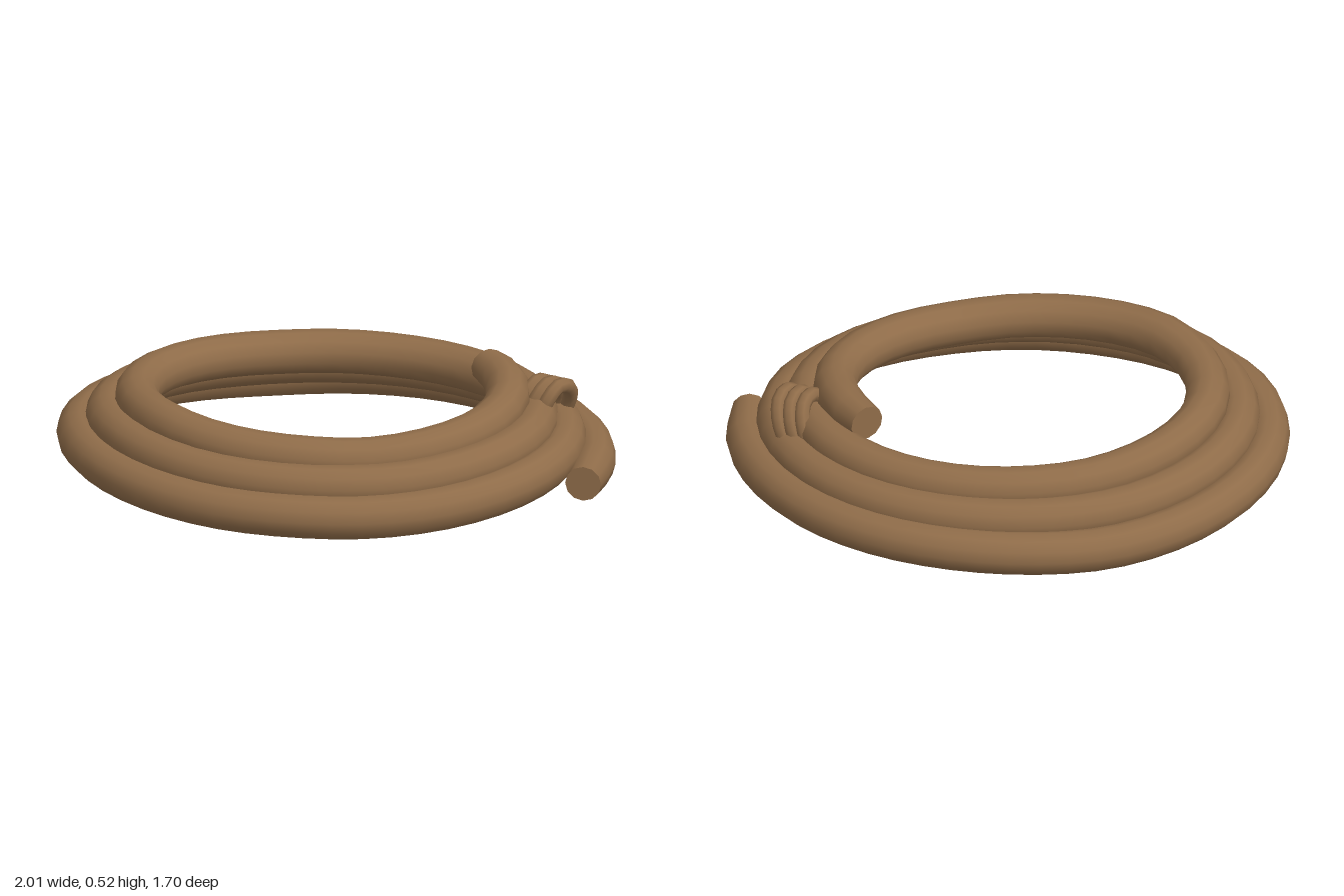
import * as THREE from 'three';

const RADIAL = 12;
const ROPE_RADIUS = 0.08;

// Rope heights along the coil, as [turn, y]
const HEIGHTS = [
  [0, 0.21], [0.12, 0.215], [0.25, 0.21], [0.375, 0.192], [0.5, 0.235],
  [0.62, 0.255], [0.75, 0.235], [0.87, 0.232], [1, 0.268],
  [1.12, 0.288], [1.25, 0.285], [1.375, 0.28], [1.5, 0.312],
  [1.65, 0.338], [1.75, 0.322], [1.87, 0.315], [2, 0.345],
  [2.12, 0.362], [2.25, 0.355], [2.375, 0.36], [2.5, 0.392],
  [2.66, 0.42], [2.75, 0.4], [2.87, 0.382], [3, 0.415], [3.1, 0.45], [3.3, 0.455],
];

function heightAt(t) {
  let i = 0;
  while (i < HEIGHTS.length - 2 && t > HEIGHTS[i + 1][0]) i++;
  const [t0, y0] = HEIGHTS[i];
  const [t1, y1] = HEIGHTS[i + 1];
  return THREE.MathUtils.mapLinear(t, t0, t1, y0, y1);
}

// Point on the slightly skewed oval spiral, shrinking inward with each turn
function coilPoint(t) {
  const angle = t * Math.PI * 2;
  const c = Math.cos(angle), s = Math.sin(angle);
  const a = 0.95 - 0.107 * t, b = 0.81 - 0.0885 * t;
  const flare = 0.03 * Math.max(0, 1 - t / 0.09); // loose outer end
  return new THREE.Vector3(
    a * c + 0.05 * s - 0.022 + 0.004 * t + flare,
    heightAt(t),
    -b * s - 0.05 * c + 0.02 + 0.0035 * t,
  );
}

// Narrows the first and last rings of a tube toward the path
function taperEnds(geometry, path, segments, scales) {
  const pos = geometry.attributes.position;
  const v = new THREE.Vector3();
  for (let j = 0; j <= segments; j++) {
    const scale = scales[Math.min(j, segments - j)] ?? 1;
    const centre = path.getPointAt(j / segments);
    for (let i = 0; i <= RADIAL; i++) {
      const k = j * (RADIAL + 1) + i;
      v.fromBufferAttribute(pos, k).sub(centre).multiplyScalar(scale).add(centre);
      pos.setXYZ(k, v.x, v.y, v.z);
    }
  }
}

// Flat disc closing one end ring of a tube
function endCap(tube, centre, ring, reverse) {
  const pos = tube.attributes.position;
  const points = [centre];
  const index = [];
  for (let i = 0; i <= RADIAL; i++) {
    points.push(new THREE.Vector3().fromBufferAttribute(pos, ring * (RADIAL + 1) + i));
    if (i < RADIAL) index.push(0, ...(reverse ? [i + 2, i + 1] : [i + 1, i + 2]));
  }
  const geometry = new THREE.BufferGeometry().setFromPoints(points);
  geometry.setIndex(index);
  geometry.computeVertexNormals();
  return geometry;
}

export function createModel() {
  const group = new THREE.Group();
  group.name = 'coiledRope';
  const brown = new THREE.MeshStandardMaterial({ color: 0x8f6c49 });
  brown.name = 'ropeBrown';

  const add = (name, geometry) => {
    const mesh = new THREE.Mesh(geometry, brown);
    mesh.name = name;
    group.add(mesh);
  };

  // Main coil: a little over three turns
  const start = 0.02, end = 3.153, steps = 64, segments = 140;
  const points = [];
  for (let i = 0; i <= steps; i++) {
    points.push(coilPoint(THREE.MathUtils.lerp(start, end, i / steps)));
  }
  const path = new THREE.CatmullRomCurve3(points);
  const coil = new THREE.TubeGeometry(path, segments, ROPE_RADIUS, RADIAL, false);
  taperEnds(coil, path, segments, [0.82, 0.94]);
  add('coil', coil);
  add('outerEnd', endCap(coil, path.getPointAt(0), 0, false));
  add('innerEnd', endCap(coil, path.getPointAt(1), segments, true));

  // Binding: three thin loops around the strands, hanging below the coil
  const loop = [
    [0.66, 0.43, -0.3], [0.675, 0.468, -0.345], [0.685, 0.455, -0.4],
    [0.665, 0.385, -0.45], [0.585, 0.22, -0.46], [0.52, 0.1, -0.46],
    [0.475, 0.028, -0.405], [0.485, 0.06, -0.34], [0.53, 0.14, -0.3],
    [0.605, 0.3, -0.29],
  ];
  for (let i = -1; i <= 1; i++) {
    const loopPath = new THREE.CatmullRomCurve3(
      loop.map(([x, y, z]) => new THREE.Vector3(x + i * 0.046, y, z)), true);
    add('bindingLoop', new THREE.TubeGeometry(loopPath, 36, 0.028, 8, true));
  }

  return group;
}
